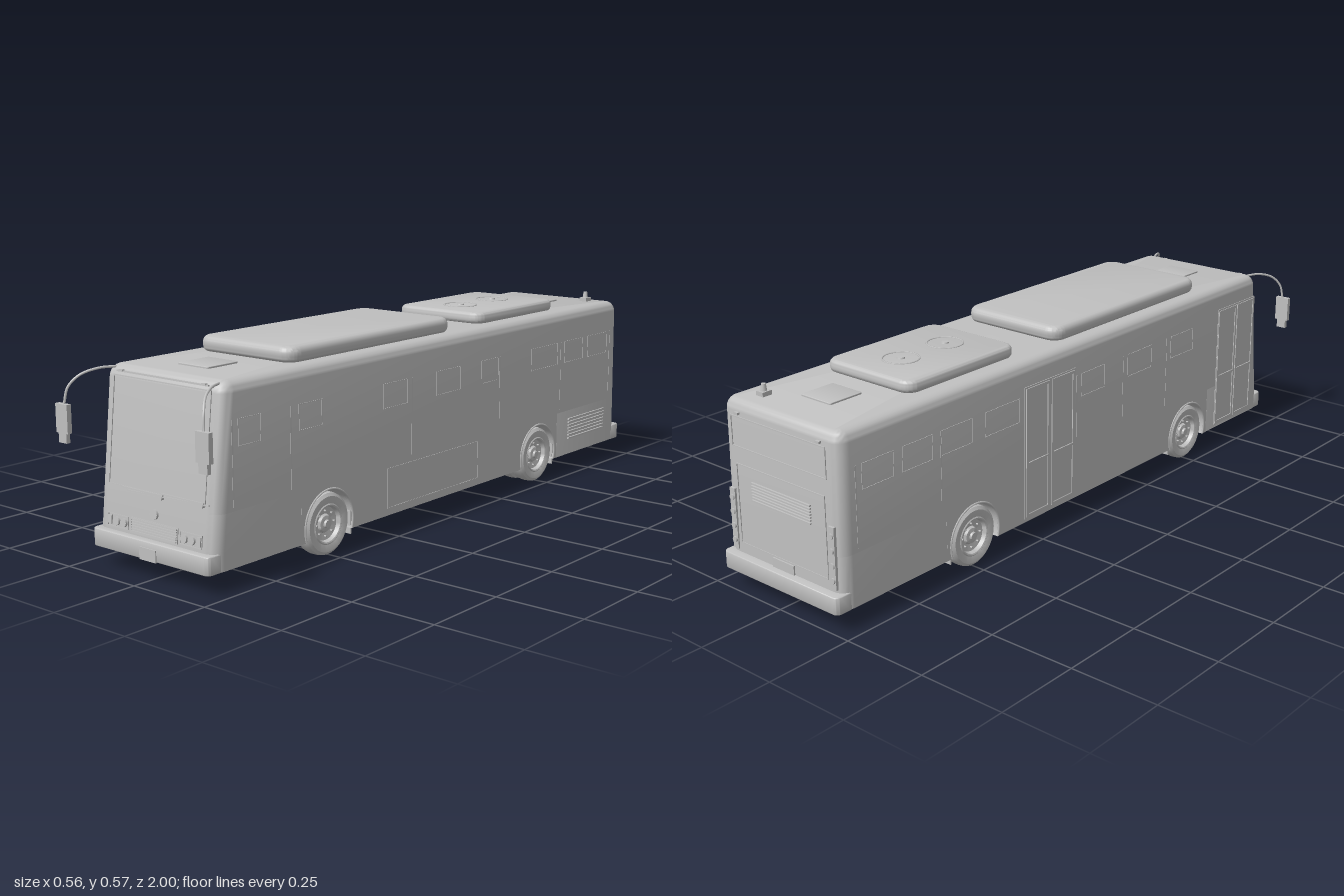
import * as THREE from 'three';
import { toCreasedNormals } from 'three/addons/utils/BufferGeometryUtils.js';

const W = 0.216; // half width of the body

export function createModel() {
  const root = new THREE.Group();
  root.name = 'bus';
  const grey = new THREE.MeshStandardMaterial({ color: 0xc0c0c0 });
  grey.name = 'plain grey';

  const add = (name, geo, x = 0, y = 0, z = 0, parent = root) => {
    const m = new THREE.Mesh(geo, grey);
    m.name = name;
    m.position.set(x, y, z);
    parent.add(m);
    return m;
  };
  const box = (name, w, h, d, x, y, z, parent) => add(name, new THREE.BoxGeometry(w, h, d), x, y, z, parent);
  const group = (name, x = 0, y = 0, z = 0, parent = root) => {
    const g = new THREE.Group();
    g.name = name;
    g.position.set(x, y, z);
    parent.add(g);
    return g;
  };

  // Plan outline with rounded corners, counter-clockwise from above
  const outline = (hw, zb, zf, rb, rf) => {
    const pts = [];
    const corner = (x, z, r, start) => {
      for (let i = 0; i <= 6; i++) {
        const a = start + (i / 6) * Math.PI / 2;
        pts.push([x + r * Math.cos(a), z - r * Math.sin(a)]);
      }
    };
    corner(hw - rb, zb + rb, rb, 0);
    corner(-hw + rb, zb + rb, rb, Math.PI / 2);
    corner(-hw + rf, zf - rf, rf, Math.PI);
    corner(hw - rf, zf - rf, rf, Math.PI * 1.5);
    return pts;
  };
  // Skin stacked outlines and close both ends
  const loft = (levels) => {
    const pos = [], idx = [], n = levels[0].pts.length, L = levels.length;
    for (const { y, pts } of levels) for (const [x, z] of pts) pos.push(x, y, z);
    for (let i = 0; i < L - 1; i++) for (let j = 0; j < n; j++) {
      const k = (j + 1) % n, a = i * n + j, b = i * n + k;
      idx.push(a, b, b + n, a, b + n, a + n);
    }
    for (const [lev, up] of [[0, false], [L - 1, true]]) {
      const c = pos.length / 3;
      pos.push(0, levels[lev].y, 0.5 * (levels[lev].pts[0][1] + levels[lev].pts[20][1]));
      for (let j = 0; j < n; j++) {
        const a = lev * n + j, b = lev * n + (j + 1) % n;
        idx.push(c, up ? a : b, up ? b : a);
      }
    }
    const g = new THREE.BufferGeometry();
    g.setAttribute('position', new THREE.Float32BufferAttribute(pos, 3));
    g.setIndex(idx);
    return toCreasedNormals(g, 0.6);
  };
  const frontZ = (y) => 0.93 - 0.11 * Math.max(0, y - 0.1);
  const backZ = (y) => -0.978 + 0.015 * y;

  // Upper body with rounded roof edge
  const upper = [0.2, 0.495].map((y) => ({ y, pts: outline(W, backZ(y), frontZ(y), 0.035, 0.035) }));
  for (let i = 1; i <= 6; i++) {
    const a = (i / 6) * Math.PI / 2, y = 0.495 + 0.03 * Math.sin(a), inset = 0.03 * (1 - Math.cos(a));
    upper.push({ y, pts: outline(W - inset, backZ(y) + inset, frontZ(y) - inset, 0.036 - inset, 0.036 - inset) });
  }
  add('upperBody', loft(upper));

  // Lower body: nose, middle, tail and wheel housings
  const AXLES = [0.505, -0.495];
  add('lowerNose', loft([0.055, 0.1, 0.2].map((y) => ({ y, pts: outline(W, 0.615, frontZ(y), 0.0005, 0.035) }))));
  add('lowerTail', loft([0.055, 0.2].map((y) => ({ y, pts: outline(W, backZ(y), -0.605, 0.035, 0.0005) }))));
  box('lowerMiddle', 2 * W, 0.145, 0.78, 0, 0.1275, 0.005);
  const arch = new THREE.Shape();
  arch.moveTo(-0.11, 0.055);
  arch.lineTo(-0.0894, 0.055);
  arch.absarc(0, 0.087, 0.095, Math.PI + 0.3436, -0.3436, true);
  arch.lineTo(0.11, 0.055);
  arch.lineTo(0.11, 0.2);
  arch.lineTo(-0.11, 0.2);
  const archGeo = new THREE.ExtrudeGeometry(arch, { depth: 2 * W, bevelEnabled: false, curveSegments: 32 });
  archGeo.rotateY(Math.PI / 2).translate(-W, 0, 0);
  const lipGeo = new THREE.TorusGeometry(0.096, 0.003, 6, 40, Math.PI + 0.66).rotateZ(-0.33).rotateY(Math.PI / 2);

  // Tyre and dished rim turned around the axle
  const wheelProfile = [[0, -0.022], [0.05, -0.022], [0.076, -0.024], [0.084, -0.018], [0.086, -0.008], [0.086, 0.008],
    [0.084, 0.018], [0.076, 0.024], [0.056, 0.022], [0.053, 0.024], [0.049, 0.022], [0.046, 0.01], [0.026, 0.007],
    [0.022, 0.014], [0.012, 0.016], [0.01, 0.022], [0, 0.022]].map(([x, y]) => new THREE.Vector2(x, y));
  const wheelGeo = toCreasedNormals(new THREE.LatheGeometry(wheelProfile, 40).rotateZ(-Math.PI / 2), 0.6);
  const boltGeo = new THREE.CylinderGeometry(0.0028, 0.0028, 0.008, 6).rotateZ(Math.PI / 2);
  for (const z of AXLES) {
    add('wheelHousing', archGeo, 0, 0, z);
    box('floorCore', 0.2, 0.145, 0.2, 0, 0.1275, z);
    add('axle', new THREE.CylinderGeometry(0.014, 0.014, 0.38, 16).rotateZ(Math.PI / 2), 0, 0.086, z);
    for (const s of [1, -1]) {
      add('archLip', lipGeo, s * W, 0.087, z);
      for (const x of z < 0 ? [0.19, 0.136] : [0.19]) {
        const wheel = group('wheel', s * x, 0.086, z);
        wheel.rotation.y = s > 0 ? 0 : Math.PI;
        add('tyreAndRim', wheelGeo, 0, 0, 0, wheel);
        for (let i = 0; i < 8; i++) {
          const a = i * Math.PI / 4;
          add('wheelBolt', boltGeo, 0.011, 0.035 * Math.sin(a), 0.035 * Math.cos(a), wheel);
        }
      }
      box('mudFlap', 0.1, 0.065, 0.004, s * 0.162, 0.07, z - 0.093);
    }
  }

  // Slab with rounded plan corners and softened edges, lying flat
  const slab = (name, hw, hl, h, r, bevel, x, y, z) => {
    const a = hw - bevel, b = hl - bevel, s = new THREE.Shape();
    s.absarc(a - r, b - r, r, 0, Math.PI / 2);
    s.absarc(-a + r, b - r, r, Math.PI / 2, Math.PI);
    s.absarc(-a + r, -b + r, r, Math.PI, Math.PI * 1.5);
    s.absarc(a - r, -b + r, r, Math.PI * 1.5, Math.PI * 2);
    const g = new THREE.ExtrudeGeometry(s, { depth: h - 2 * bevel, bevelSize: bevel, bevelThickness: bevel, bevelSegments: 5, curveSegments: 8 });
    return add(name, toCreasedNormals(g.rotateX(-Math.PI / 2).translate(0, bevel, 0), 0.6), x, y, z);
  };
  slab('bumperFront', 0.214, 0.03, 0.049, 0.012, 0.004, 0, 0.053, 0.92);
  slab('bumperRear', 0.216, 0.03, 0.049, 0.012, 0.004, 0, 0.053, -0.97);

  // Roof equipment
  slab('roofPodFront', 0.172, 0.35, 0.045, 0.025, 0.018, 0, 0.522, 0.25);
  slab('roofPodRear', 0.158, 0.21, 0.036, 0.025, 0.014, 0, 0.522, -0.46);
  for (const z of [-0.37, -0.54]) {
    add('fanRing', new THREE.TorusGeometry(0.05, 0.0025, 6, 36).rotateX(Math.PI / 2), 0, 0.558, z);
    add('fanHub', new THREE.CylinderGeometry(0.01, 0.012, 0.006, 16), 0, 0.559, z);
  }
  for (const z of [0.725, -0.79]) slab('roofHatch', 0.055, 0.055, 0.007, 0.004, 0.002, 0, 0.523, z);
  box('beaconBase', 0.026, 0.014, 0.03, 0.13, 0.53, -0.9);
  add('beacon', new THREE.CylinderGeometry(0.006, 0.009, 0.022, 12), 0.13, 0.545, -0.9);

  // Thin rectangular outline facing +z
  const frame = (name, x0, x1, y0, y1, t, parent) => {
    const s = new THREE.Shape([[x0, y0], [x1, y0], [x1, y1], [x0, y1]].map((p) => new THREE.Vector2(...p)));
    s.holes.push(new THREE.Path([[x0 + t, y0 + t], [x0 + t, y1 - t], [x1 - t, y1 - t], [x1 - t, y0 + t]].map((p) => new THREE.Vector2(...p))));
    add(name, new THREE.ExtrudeGeometry(s, { depth: 0.0025, bevelEnabled: false }), 0, 0, 0, parent);
  };

  // Front face, leaning back with the windscreen; local y starts at 0.1
  const face = group('frontFace', 0, 0.1, 0.93);
  face.rotation.x = -Math.atan(0.11);
  frame('windscreenFrame', -0.177, 0.177, 0.12, 0.404, 0.003, face);
  box('destinationPanel', 0.33, 0.004, 0.006, 0, 0.414, 0, face);
  for (const s of [1, -1]) box('markerLamp', 0.014, 0.005, 0.008, s * 0.15, 0.416, 0, face);
  frame('grilleFrame', -0.087, 0.087, 0.007, 0.048, 0.003, face);
  for (let i = 0; i < 6; i++) box('grilleSlat', 0.168, 0.0035, 0.008, 0, 0.012 + i * 0.0064, 0.001, face);
  const disc = (name, r, x, y) => add(name, new THREE.CylinderGeometry(r, r, 0.008, 28).rotateX(Math.PI / 2), x, y, 0.002, face);
  disc('plainRoundCap', 0.013, 0, 0.068);
  for (const s of [1, -1]) {
    frame('headlampFrame', s > 0 ? 0.095 : -0.173, s > 0 ? 0.173 : -0.095, 0.011, 0.045, 0.002, face);
    for (const x of [0.111, 0.138]) disc('headlamp', 0.011, s * x, 0.027);
    box('turnLamp', 0.012, 0.024, 0.006, s * 0.163, 0.028, 0.001, face);
  }
  for (const [x, y] of [[-0.045, 0.121], [0.1, 0.126]]) {
    box('wiperBlade', 0.155, 0.004, 0.005, x, y, 0.007, face);
    box('wiperArm', 0.15, 0.003, 0.004, x + 0.02, y - 0.004, 0.006, face).rotation.z = 0.03;
    add('wiperPivot', new THREE.CylinderGeometry(0.005, 0.005, 0.01, 12).rotateX(Math.PI / 2), x + 0.07, y - 0.007, 0.004, face);
  }
  box('frontPlate', 0.06, 0.033, 0.004, 0, 0.069, 0.951);

  // Mirrors on curved arms
  for (const s of [1, -1]) {
    const path = new THREE.CatmullRomCurve3([[0.185, 0.518, 0.87], [0.205, 0.517, 0.915], [0.228, 0.502, 0.958],
      [0.246, 0.472, 0.982], [0.253, 0.43, 0.99]].map(([x, y, z]) => new THREE.Vector3(s * x, y, z)));
    add('mirrorArm', new THREE.TubeGeometry(path, 24, 0.0035, 8), 0, 0, 0);
    box('mirrorHousing', 0.045, 0.076, 0.014, s * 0.255, 0.392, 0.992);
    box('mirrorLower', 0.03, 0.026, 0.012, s * 0.255, 0.341, 0.992);
  }

  // Rear face
  const rear = group('rearFace', 0, 0, -0.975);
  rear.rotation.y = Math.PI;
  frame('rearWindowFrame', -0.175, 0.175, 0.4, 0.485, 0.003, rear);
  frame('engineHatchFrame', -0.165, 0.165, 0.13, 0.355, 0.003, rear);
  for (let i = 0; i < 7; i++) box('rearLouvre', 0.22, 0.004, 0.008, 0, 0.265 + i * 0.008, 0, rear);
  for (const s of [1, -1]) {
    box('tailLampPanel', 0.02, 0.17, 0.008, s * 0.185, 0.195, 0.001, rear);
    for (let i = 0; i < 4; i++) {
      add('tailLamp', new THREE.CylinderGeometry(0.008, 0.008, 0.008, 16).rotateX(Math.PI / 2), s * 0.185, 0.135 + i * 0.04, 0.005, rear);
    }
    box('rearMarker', 0.014, 0.006, 0.008, s * 0.15, 0.492, 0, rear);
  }
  box('rearPlate', 0.08, 0.026, 0.004, 0, 0.115, 0.004, rear);

  // Left flank: local x runs along -z
  const left = group('leftFlank', W - 0.001);
  left.rotation.y = Math.PI / 2;
  const hopper = (z0, z1, p) => frame('openingWindow', z0, z1, 0.36, 0.43, 0.0018, p);
  for (const z of [0.86, 0.65, 0.15, -0.28, -0.62, -0.92]) box('windowPost', 0.004, 0.22, 0.004, -z, 0.32, 0, left);
  for (const [a, b] of [[0.84, 0.76], [0.62, 0.53], [0.28, 0.17], [0.04, -0.08], [-0.18, -0.27], [-0.45, -0.6], [-0.64, -0.75], [-0.78, -0.9]]) hopper(-a, -b, left);
  frame('servicePanel', -0.26, 0.17, 0.075, 0.19, 0.0025, left);
  for (let i = 0; i < 7; i++) box('sideLouvre', 0.22, 0.005, 0.01, 0.78, 0.108 + i * 0.0105, 0.001, left);

  // Right flank with two double doors: local x runs along +z
  const right = group('rightFlank', -W + 0.001);
  right.rotation.y = -Math.PI / 2;
  for (const z of [0.38, 0.16, -0.06, -0.62, -0.92]) box('windowPost', 0.004, 0.22, 0.004, z, 0.32, 0, right);
  for (const [a, b] of [[0.4, 0.52], [0.18, 0.3], [-0.04, 0.07], [-0.45, -0.31], [-0.62, -0.5], [-0.76, -0.65], [-0.9, -0.79]]) hopper(Math.min(a, b), Math.max(a, b), right);
  for (const [z0, z1] of [[0.66, 0.87], [-0.29, -0.07]]) {
    const mid = (z0 + z1) / 2;
    box('doorPanel', z1 - z0, 0.39, 0.004, mid, 0.26, 0.001, right);
    for (const s of [1, -1]) {
      const leaf = group('doorLeaf', mid + s * (z1 - z0) / 4, 0, 0.003, right);
      frame('doorLeafFrame', -0.05, 0.05, 0.07, 0.45, 0.008, leaf);
      box('doorRail', 0.09, 0.006, 0.004, 0, 0.23, 0.001, leaf);
    }
  }
  return root;
}
